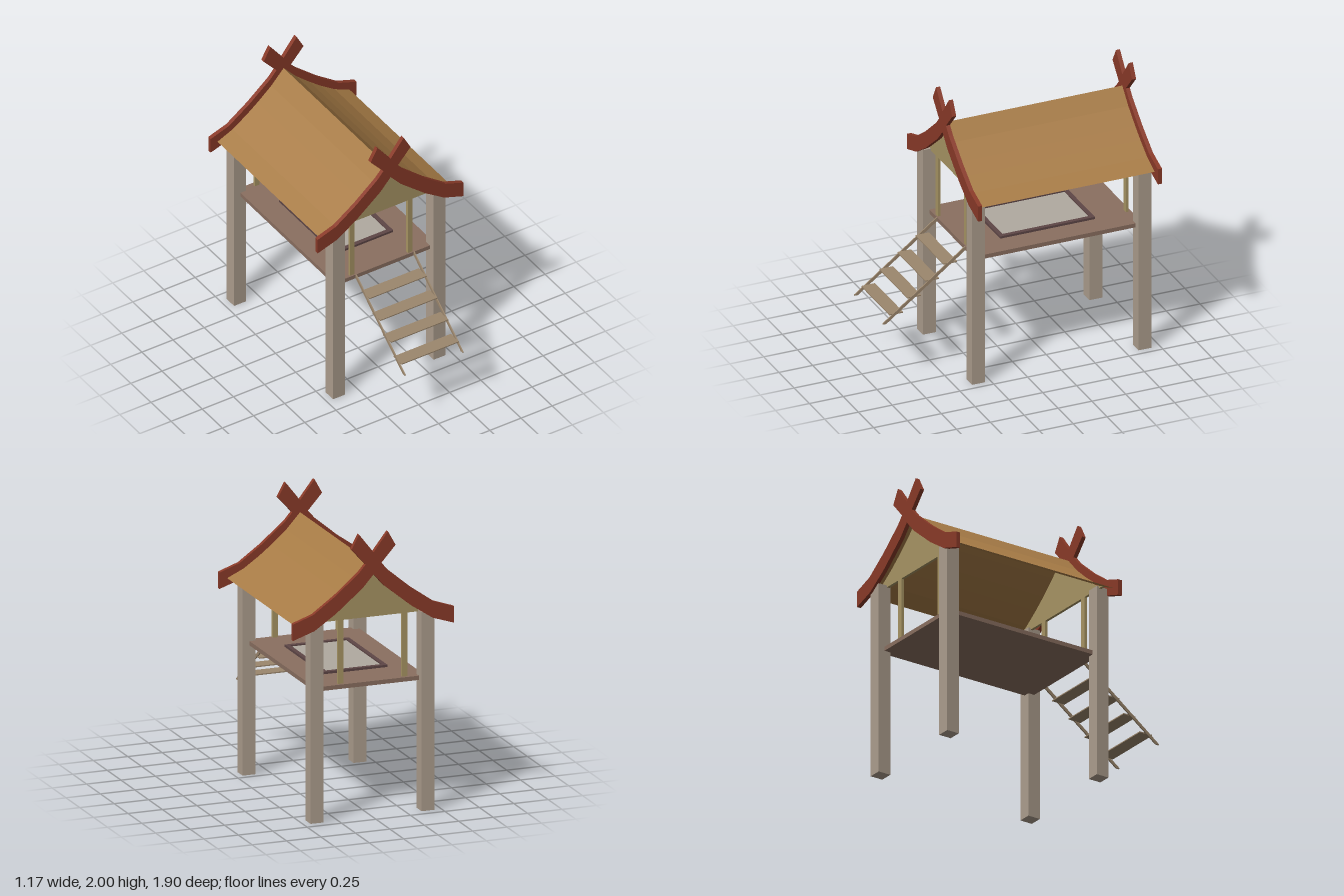
import * as THREE from 'three';

const mat = (color, extra = {}) => new THREE.MeshStandardMaterial({ color, ...extra });
const postMat = mat(0xad9e8e);
const deckMat = mat(0x8a6f60);
const gableMat = mat(0xa89564);
const bargeMat = mat(0x8a3a28);
const roofMat = mat(0xa87c46, { side: THREE.DoubleSide, flatShading: true });
const ladderMat = mat(0x9c876d);
const frameMat = mat(0x5e4646);
const sheetMat = mat(0xb0aaa0);

const FRONT = 0.34, BACK = -0.89; // post centre lines
const MID = (FRONT + BACK) / 2;

// Half of the roof curve, from ridge to eave
const roofHalf = [[0, 1.78], [0.1, 1.67], [0.21, 1.575], [0.3, 1.505], [0.41, 1.43], [0.53, 1.375]];

const shapeOf = (pts) => new THREE.Shape(pts.map(([x, y]) => new THREE.Vector2(x, y)));
// Completes a half outline, given from top centre to bottom centre, with its mirror image
const mirrored = (half) =>
  shapeOf([...half, ...half.filter(([x]) => x > 0).reverse().map(([x, y]) => [-x, y])]);

const extrude = (shape, depth) => {
  const g = new THREE.ExtrudeGeometry(shape, { depth, bevelEnabled: false });
  g.translate(0, 0, -depth / 2);
  return g;
};

export function createModel() {
  const model = new THREE.Group();
  const add = (name, geometry, material, x = 0, y = 0, z = 0) => {
    const mesh = new THREE.Mesh(geometry, material);
    mesh.name = name;
    mesh.position.set(x, y, z);
    model.add(mesh);
    return mesh;
  };
  const box = (name, material, w, h, d, x, y, z) =>
    add(name, new THREE.BoxGeometry(w, h, d), material, x, y, z);

  // Corner posts and slim inner columns
  for (const z of [FRONT, BACK]) {
    for (const s of [-1, 1]) {
      box('cornerPost', postMat, 0.095, 1.4, 0.095, s * 0.403, 0.7, z);
    }
  }
  for (const z of [0.32, -0.86]) {
    for (const x of [-0.26, 0.205]) {
      box('innerColumn', gableMat, 0.038, 0.46, 0.02, x, 1.17, z);
    }
  }

  // Raised platform
  box('platform', deckMat, 0.8, 0.03, FRONT - BACK, 0, 0.925, MID);

  // Framed floor mat
  const frame = shapeOf([[-0.235, -0.35], [0.23, -0.35], [0.23, 0.35], [-0.235, 0.35]]);
  frame.holes.push(new THREE.Path(
    [[-0.205, -0.32], [-0.205, 0.32], [0.2, 0.32], [0.2, -0.32]].map(([x, y]) => new THREE.Vector2(x, y))));
  add('matFrame', extrude(frame, 0.018), frameMat, 0, 0.947, -0.27).rotation.x = -Math.PI / 2;
  box('floorMat', sheetMat, 0.41, 0.008, 0.645, -0.0025, 0.943, -0.27);

  // Gable infill, flat at the base and following the roof above
  const gable = mirrored([...roofHalf.slice(0, -1).map(([x, y]) => [x, y - 0.006]), [0.49, 1.387], [0, 1.387]]);
  for (const z of [0.32, -0.86]) add('gablePanel', extrude(gable, 0.02), gableMat, 0, 0, z);

  // Curved roof slopes
  const z0 = 0.38, z1 = -0.93;
  for (const s of [-1, 1]) {
    const g = new THREE.PlaneGeometry(1, 1, roofHalf.length - 1, 1);
    const p = g.attributes.position;
    for (let i = 0; i < p.count; i++) {
      const col = i % roofHalf.length;
      const [x, y] = roofHalf[s > 0 ? col : roofHalf.length - 1 - col];
      p.setXYZ(i, s * x, y, i < roofHalf.length ? z1 : z0);
    }
    g.computeVertexNormals();
    add('roofSlope', g, roofMat);
  }

  // Crossed barge boards at both ends
  const barge = mirrored([
    [0, 1.865], [0.105, 2], [0.16, 1.9], [0.057, 1.785], [0.105, 1.73], [0.275, 1.587],
    [0.44, 1.47], [0.585, 1.42], [0.585, 1.305], [0.43, 1.357], [0.275, 1.46], [0.08, 1.62], [0, 1.71],
  ]);
  for (const z of [0.389, -0.94]) add('bargeBoards', extrude(barge, 0.03), bargeMat, 0, 0, z);

  // Ladder: slanted stringers and flat treads
  const stringer = shapeOf([[-0.34, 0.91], [-0.34, 0.94], [-0.95, 0.48], [-0.95, 0.473], [-0.925, 0.473]]);
  for (const x of [-0.235, 0.23]) {
    add('ladderStringer', extrude(stringer, 0.008), ladderMat, x).rotation.y = Math.PI / 2;
  }
  for (let i = 0; i < 4; i++) {
    box('ladderTread', ladderMat, 0.46, 0.008, 0.1, 0, 0.835 - i * 0.1, 0.45 + i * 0.133);
  }

  return model;
}
